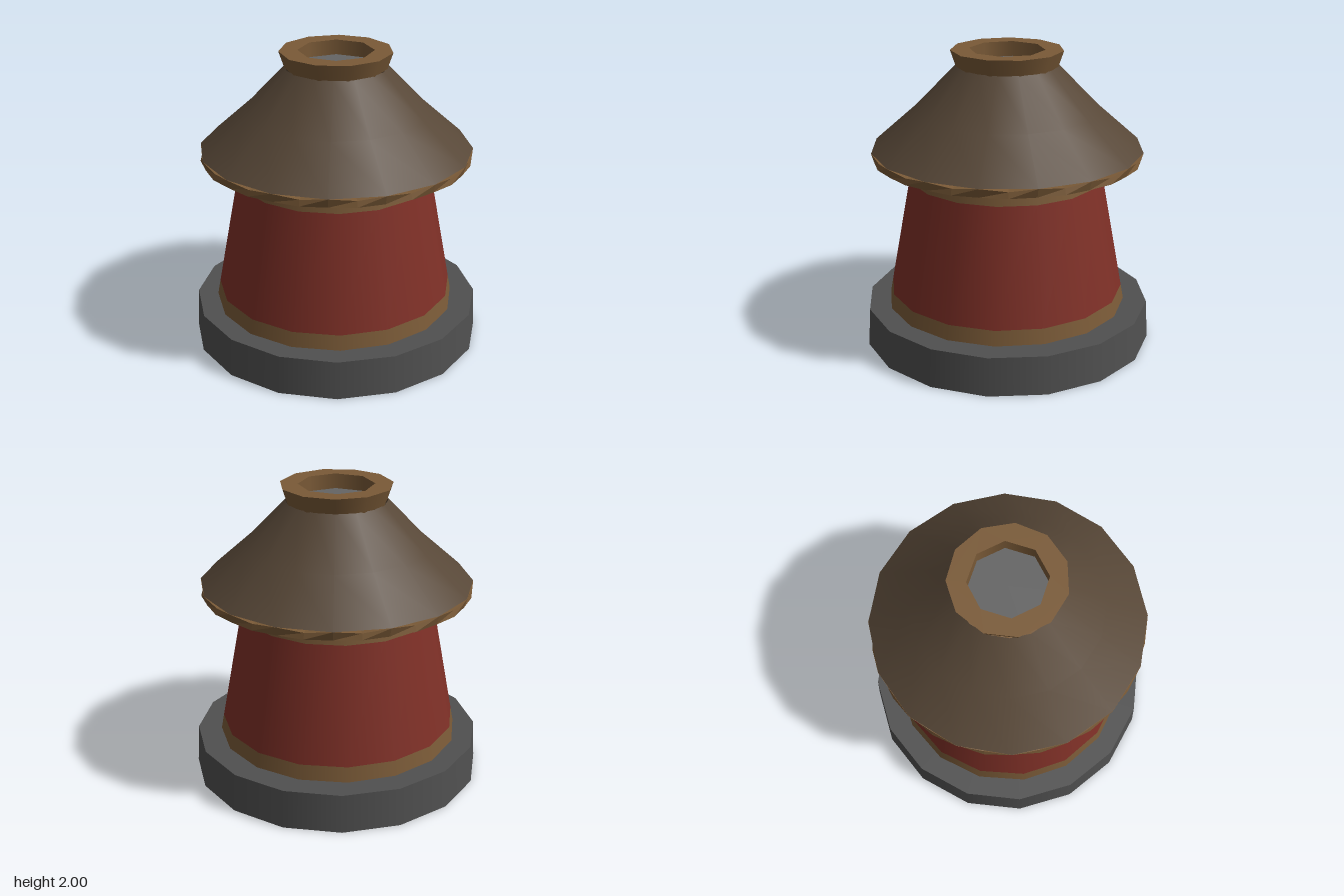
import * as THREE from 'three';

const paint = (name, color, side = THREE.FrontSide) => {
  const m = new THREE.MeshStandardMaterial({ color, side });
  m.name = name;
  return m;
};

export function createModel() {
  const wood = paint('wood', 0x7a5a37, THREE.DoubleSide);
  const red = paint('red', 0x7f3027);
  const stone = paint('stone', 0x505050);
  const ash = paint('ash', 0x646464);
  const thatch = paint('thatch', 0x574737, THREE.DoubleSide);

  const group = new THREE.Group();
  const add = (name, geometry, material, x = 0, y = 0, z = 0) => {
    const mesh = new THREE.Mesh(geometry, material);
    mesh.name = name;
    mesh.position.set(x, y, z);
    group.add(mesh);
    return mesh;
  };
  // Tapered ring or drum standing between heights y0 and y1
  const drum = (r0, r1, y0, y1, sides, phase = 0, open = true) =>
    new THREE.CylinderGeometry(r1, r0, y1 - y0, sides, 1, open, phase, Math.PI * 2)
      .translate(0, (y0 + y1) / 2, 0);
  const polygon = (r, sides, phase) => Array.from({ length: sides }, (_, i) => {
    const a = phase + i / sides * Math.PI * 2;
    return new THREE.Vector2(r * Math.sin(a), -r * Math.cos(a));
  });

  // Stone foundation
  add('foundation', drum(0.98, 0.965, 0, 0.26, 16, 0.06, false), stone);

  // Tapered wall: wooden trim below and above a red field
  const wallRadius = y => 0.815 - (y - 0.26) * 0.187;
  const bands = [
    ['lowerTrim', 0.25, 0.36, wood],
    ['wall', 0.36, 1.14, red],
    ['upperTrim', 1.14, 1.29, wood],
  ];
  for (const [name, y0, y1, material] of bands)
    add(name, drum(wallRadius(y0), wallRadius(y1), y0, y1, 16, 0.1), material, -0.01, 0, 0.01);

  // Stain on the upper trim and under the eave
  add('trimStain', new THREE.CylinderGeometry(0.623, 0.632, 0.05, 6, 1, true, 1.0, 0.8), thatch, -0.01, 1.258, 0.01);
  add('eaveStain', new THREE.RingGeometry(0.6, 0.68, 16).rotateX(Math.PI / 2), thatch, 0, 1.282, 0);

  // Wooden eave, its upper edge rising and dipping between the corners
  const eave = drum(0.885, 0.9, 1.285, 1.34, 32, 0, false).toNonIndexed();
  const p = eave.attributes.position;
  for (let i = 0; i < p.count; i++) {
    const a = Math.atan2(p.getX(i), p.getZ(i));
    const corner = Math.round(a / (Math.PI / 16)) % 2 === 0;
    const r = Math.hypot(p.getX(i), p.getZ(i));
    if (r < 0.1) continue;
    const upper = p.getY(i) > 1.3;
    const k = upper ? (corner ? 0.908 : 0.89) : (corner ? 0.89 : 0.9);
    p.setXYZ(i, Math.sin(a) * k, upper ? (corner ? 1.345 : 1.325) : 1.285, Math.cos(a) * k);
  }
  eave.computeVertexNormals();
  add('eave', eave, wood);

  // Slightly hollow conical roof
  const roofProfile = [[0.907, 1.345], [0.62, 1.6], [0.335, 1.895]].map(q => new THREE.Vector2(...q));
  add('roof', new THREE.LatheGeometry(roofProfile, 16), thatch);

  // Flared collar with an eight-sided opening and a grey floor inside
  add('collar', drum(0.335, 0.372, 1.89, 2, 11, 0.286), wood);
  const rim = new THREE.Shape(polygon(0.372, 11, 0.286));
  rim.holes.push(new THREE.Path(polygon(0.25, 8, 0.05)));
  add('collarRim', new THREE.ShapeGeometry(rim).rotateX(-Math.PI / 2), wood, 0, 2, 0);
  add('opening', drum(0.25, 0.25, 1.89, 2, 8, 0.05), wood);
  add('openingFloor', new THREE.CircleGeometry(0.3, 11).rotateX(-Math.PI / 2), ash, 0, 1.9, 0);

  return group;
}
